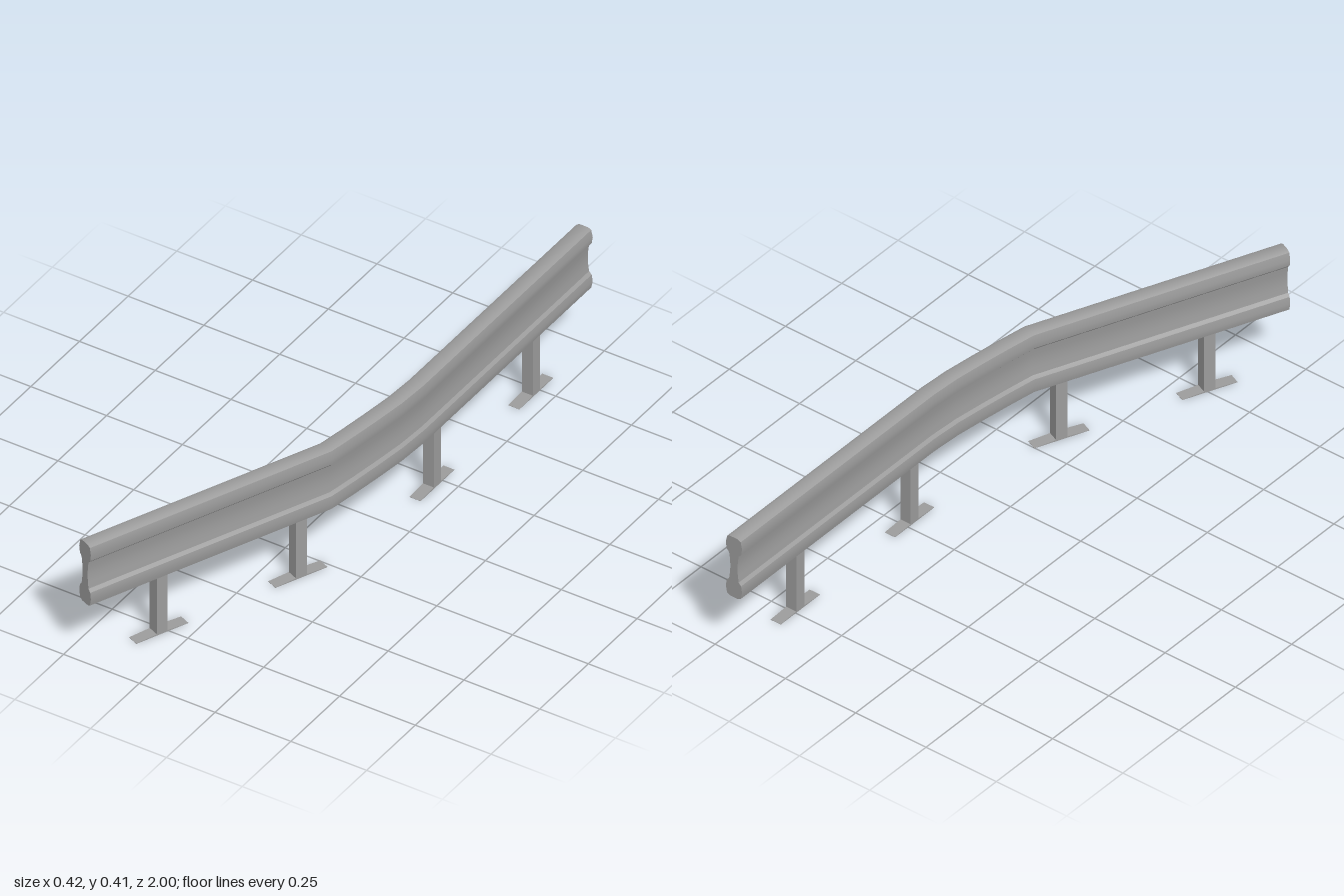
import * as THREE from 'three';
import { toCreasedNormals } from 'three/addons/utils/BufferGeometryUtils.js';

const material = new THREE.MeshStandardMaterial({ color: 0x9c9c9c });

// Centre line of the rail on the ground plane (x, z), back to front
const path = [
  [0.183, -1], [0.183, -0.14], [0.177, -0.04], [0.164, 0.06], [0.15, 0.155], [0.134, 0.25], [-0.186, 0.989],
].map(([x, z]) => new THREE.Vector2(x, z));

// Right half of the rail section (half width, y), bottom to top
const half = [
  [0.014, 0.197], [0.024, 0.202], [0.029, 0.225], [0.0255, 0.247], [0.017, 0.256], [0.014, 0.278],
  [0.0125, 0.302],
  [0.014, 0.326], [0.017, 0.347], [0.0255, 0.356], [0.029, 0.378], [0.024, 0.401], [0.014, 0.406],
];
const section = [...half, ...half.map(([w, y]) => [-w, y]).reverse()];

function direction(i) {
  return path[i + 1].clone().sub(path[i]).normalize();
}

// Sweep the section along the path with mitred joints and closed ends
function railGeometry() {
  const positions = [];
  const index = [];
  const n = section.length;
  const last = path.length - 1;
  path.forEach((p, i) => {
    const before = direction(Math.max(i - 1, 0));
    const after = direction(Math.min(i, last - 1));
    const t = before.clone().add(after).normalize();
    const miter = 1 / t.dot(after);
    for (const [w, y] of section) positions.push(p.x + t.y * w * miter, y, p.y - t.x * w * miter);
  });
  for (let i = 0; i < last; i++) {
    for (let j = 0; j < n; j++) {
      const k = (j + 1) % n;
      const a = i * n + j, b = i * n + k, c = b + n, d = a + n;
      index.push(a, b, c, a, c, d);
    }
  }
  const outline = section.map(([w, y]) => new THREE.Vector2(w, y));
  for (const [a, b, c] of THREE.ShapeUtils.triangulateShape(outline, [])) {
    index.push(a, c, b, last * n + a, last * n + b, last * n + c);
  }
  const geometry = new THREE.BufferGeometry();
  geometry.setAttribute('position', new THREE.Float32BufferAttribute(positions, 3));
  geometry.setIndex(index);
  return toCreasedNormals(geometry, 0.48);
}

// Foot plate that thins out towards both ends
function footGeometry(width) {
  const shape = new THREE.Shape([
    [-0.087, 0], [0.087, 0], [0.087, 0.001], [0.018, 0.0045], [-0.018, 0.0045], [-0.087, 0.001],
  ].map(([x, y]) => new THREE.Vector2(x, y)));
  const geometry = new THREE.ExtrudeGeometry(shape, { depth: width, bevelEnabled: false });
  return geometry.translate(0, 0, -width / 2).rotateY(Math.PI / 2);
}

export function createModel() {
  const model = new THREE.Group();
  model.name = 'guardRail';

  const rail = new THREE.Mesh(railGeometry(), material);
  rail.name = 'rail';
  model.add(rail);

  // Posts turned to follow the rail: x, z, path segment
  const width = 0.036;
  const postGeometry = new THREE.BoxGeometry(width, 0.2, width).translate(0, 0.1, 0);
  const plateGeometry = footGeometry(width);
  const posts = [[0.181, -0.73, 0], [0.181, -0.222, 0], [0.096, 0.335, 5], [-0.088, 0.763, 5]];
  posts.forEach(([x, z, segment], i) => {
    const support = new THREE.Group();
    support.name = `support${i + 1}`;
    const post = new THREE.Mesh(postGeometry, material);
    post.name = 'post';
    const foot = new THREE.Mesh(plateGeometry, material);
    foot.name = 'footPlate';
    support.add(post, foot);
    const t = direction(segment);
    support.position.set(x, 0, z);
    support.rotation.y = Math.atan2(t.x, t.y);
    model.add(support);
  });
  return model;
}
